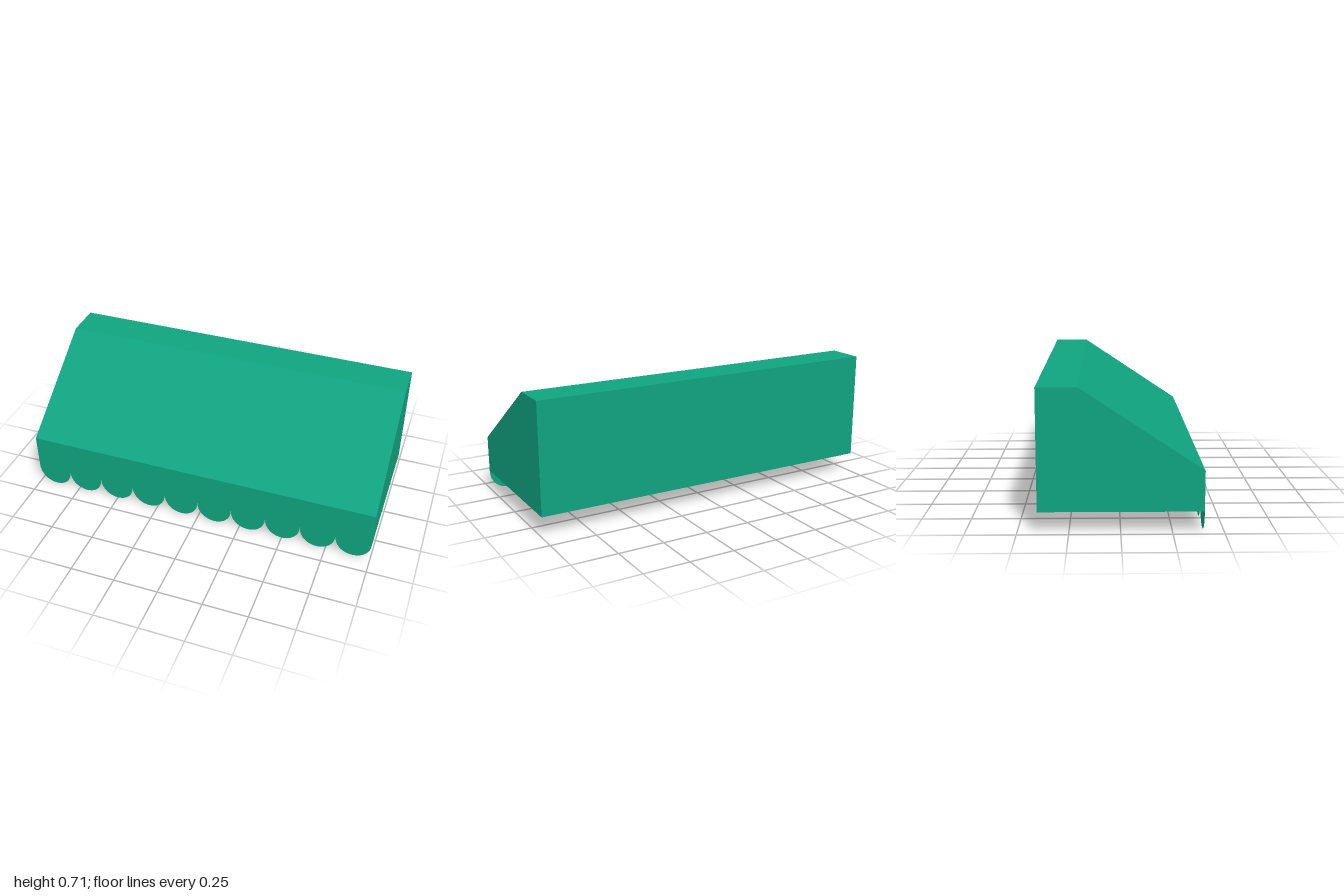
import * as THREE from 'three';

const WIDTH = 2, HEM = 0.1125, FRONT = 0.4, SCALLOPS = 10;

export function createModel() {
  const group = new THREE.Group();
  group.name = 'awning';
  const material = new THREE.MeshStandardMaterial({ color: 0x10a37f, side: THREE.DoubleSide });

  // Canopy: side profile (z, y) extruded along the width
  const profile = new THREE.Shape([
    [FRONT, HEM], [FRONT, HEM + 0.2], [-0.2, HEM + 0.6], [-0.4, HEM + 0.6], [-0.4, HEM],
  ].map(([z, y]) => new THREE.Vector2(z, y)));
  const canopyGeometry = new THREE.ExtrudeGeometry(profile, { depth: WIDTH, bevelEnabled: false });
  canopyGeometry.rotateY(-Math.PI / 2).translate(WIDTH / 2, 0, 0);
  const canopy = new THREE.Mesh(canopyGeometry, material);
  canopy.name = 'canopy';
  group.add(canopy);

  // Scalloped valance: a row of thin rounded flaps under the front edge
  const w = WIDTH / SCALLOPS;
  const flap = new THREE.Shape();
  flap.moveTo(-w / 2, 0);
  flap.bezierCurveTo(-w / 2, -0.15, w / 2, -0.15, w / 2, 0);
  flap.closePath();
  const flapGeometry = new THREE.ShapeGeometry(flap, 24);
  const valance = new THREE.Group();
  valance.name = 'valance';
  for (let i = 0; i < SCALLOPS; i++) {
    const scallop = new THREE.Mesh(flapGeometry, material);
    scallop.name = `scallop${i + 1}`;
    scallop.position.set(-WIDTH / 2 + w * (i + 0.5), HEM, FRONT);
    valance.add(scallop);
  }
  group.add(valance);
  return group;
}
